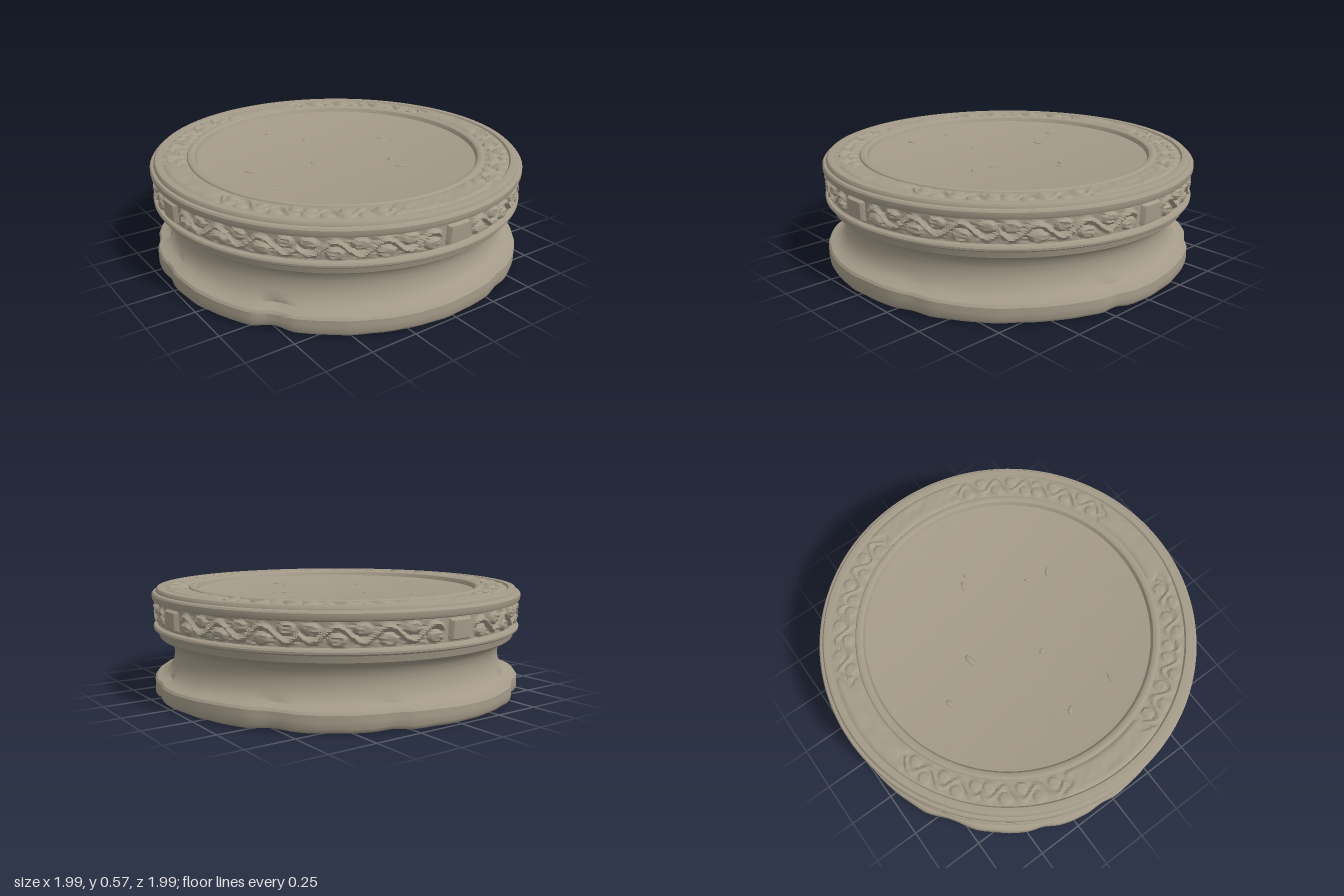
import * as THREE from 'three';
import { toCreasedNormals } from 'three/addons/utils/BufferGeometryUtils.js';

const stone = new THREE.MeshStandardMaterial({ color: 0xa39a88 });
stone.name = 'weathered stone';

const smooth = THREE.MathUtils.smoothstep;
const bump = (d, w) => 1 - smooth(Math.abs(d), 0, w);

// Turn a profile of [radius, height] points; move(point, angle) may reshape it
function turned(name, profile, segments, crease, move) {
  const pts = profile.map(([r, y]) => new THREE.Vector2(r, y));
  const geo = new THREE.LatheGeometry(pts, segments);
  if (move) {
    const pos = geo.attributes.position;
    const p = { r: 0, y: 0, row: 0 };
    for (let i = 0; i < pos.count; i++) {
      const a = (Math.floor(i / pts.length) % segments) / segments * Math.PI * 2;
      p.row = i % pts.length;
      p.r = pts[p.row].x;
      p.y = pts[p.row].y;
      move(p, a);
      pos.setXYZ(i, p.r * Math.sin(a), p.y, p.r * Math.cos(a));
    }
  }
  const mesh = new THREE.Mesh(toCreasedNormals(geo, crease), stone);
  mesh.name = name;
  return mesh;
}

// Points along a straight profile, for bands that will be carved
const ramp = (r0, y0, r1, y1, n) => Array.from({ length: n + 1 }, (_, i) =>
  [r0 + (r1 - r0) * i / n, y0 + (y1 - y0) * i / n]);

// Angle from the nearest of the four main axes, -45..45 degrees
const axisDegrees = (a) => {
  const d = THREE.MathUtils.radToDeg(a);
  return d - 90 * Math.round(d / 90);
};

// Worn, uneven surface
const wear = (a, v) => 0.5 * Math.sin(31 * a + 5 * v) * Math.sin(17 * a - 7 * v + 1)
  + 0.5 * Math.sin(53 * a + 9 * v) * Math.cos(23 * a + 4 * v);

// Scrolling vine with leaves, 0..1; u counts waves along the band
function scroll(u, v, a) {
  const wave = 0.5 + 0.27 * Math.sin(u * Math.PI * 2);
  const vine = bump(v - wave, 0.17);
  const k = Math.round(u * 2 - 0.5);
  const du = u * 2 - 0.5 - k;
  const side = k % 2 === 0 ? 0.3 : 0.7;
  const leaf = 1 - smooth(Math.hypot(du / 0.42, (v - side) / 0.27), 0.6, 1);
  return Math.max(vine, 0.9 * leaf) + 0.28 * wear(a, v * 3);
}

const fade = (v) => smooth(v, 0, 0.12) * (1 - smooth(v, 0.88, 1));

// Side frieze: rounded cartouche on each axis, scrolls between
function friezeRelief(a, v) {
  const d = Math.abs(axisDegrees(a));
  const block = 1 - smooth(Math.max(d / 4, Math.abs(v - 0.5) / 0.45), 0.78, 1);
  const vines = d > 5 ? scroll((d - 5) / 13.4, v, a) * smooth(d, 5, 6.5) : 0;
  return (block + vines) * fade(v);
}

// Top border: broad panel on each axis, foliage between
function borderRelief(a, v) {
  const d = Math.abs(axisDegrees(a));
  const end = 15 + 3 * v + 1.5 * Math.sin(v * 9);
  const panel = 1 - smooth(d, end - 1.2, end);
  const hollow = 0.35 * bump(d, 5) * bump(v - 0.6, 0.4);
  const leaves = scroll((d - 18) / 11, v, a) * smooth(d, end + 0.5, end + 2);
  return (panel * (0.85 + 0.2 * wear(a, v)) - hollow + leaves) * fade(v);
}

// Broken spots on the foot: [angle in degrees, half width, depth]
const dents = [[-52, 7, 0.022], [215, 9, 0.018], [160, 6, 0.014], [128, 8, 0.014],
  [78, 5, 0.01], [20, 7, 0.008], [-95, 6, 0.012], [245, 5, 0.012]];

function wornFoot(p, a) {
  if (p.y > 0.13 || p.r < 0.85) return;
  const deg = THREE.MathUtils.radToDeg(a);
  let depth = 0.003 * (1 + wear(a * 0.5, 0));
  for (const [at, w, d] of dents) {
    const off = ((deg - at + 540) % 360) - 180;
    depth += d * bump(off, w);
  }
  p.r -= depth;
  if (p.y < 0.03) p.y += depth * 0.5;
  else p.y += 0.004 * Math.sin(3 * a + 1) + 0.003 * Math.sin(7 * a);
}

export function createModel() {
  const group = new THREE.Group();
  group.name = 'roundPedestal';

  // Foot with hollow underside, and the waist cove above it
  group.add(turned('footAndWaist', [
    [0, 0.065], [0.75, 0.065], [0.758, 0.055], [0.77, 0.012], [0.78, 0.004], [0.86, 0.002],
    [0.975, 0.002], [0.99, 0.01], [0.998, 0.025], [0.998, 0.06], [0.997, 0.09],
    [0.988, 0.102], [0.965, 0.108], [0.937, 0.12], [0.913, 0.14], [0.896, 0.17],
    [0.888, 0.205], [0.887, 0.235], [0.894, 0.265], [0.908, 0.288], [0.93, 0.304], [0.955, 0.312],
  ], 180, 0.6, wornFoot));

  // Stepped moulding under the frieze
  group.add(turned('lowerMoulding', [
    [0.93, 0.304], [0.955, 0.31], [0.964, 0.318], [0.968, 0.335], [0.972, 0.35],
    [0.984, 0.353], [0.992, 0.36], [0.993, 0.37], [0.988, 0.379], [0.972, 0.382], [0.968, 0.386],
  ], 160, 0.55));

  // Carved side frieze
  const rows = 14;
  group.add(turned('carvedFrieze', ramp(0.968, 0.384, 0.972, 0.504, rows), 720, 0.7, (p, a) => {
    p.r += 0.02 * friezeRelief(a, p.row / rows);
  }));

  // Cornice and outer rim of the top
  group.add(turned('upperRim', [
    [0.968, 0.5], [0.978, 0.504], [0.992, 0.508], [0.997, 0.518], [0.997, 0.54], [0.991, 0.549],
    [0.977, 0.552], [0.975, 0.562], [0.968, 0.571], [0.955, 0.573], [0.935, 0.572], [0.928, 0.562],
  ], 160, 0.55));

  // Carved border on the top
  group.add(turned('carvedTopBorder', ramp(0.93, 0.562, 0.802, 0.562, rows), 720, 0.7, (p, a) => {
    p.y += 0.012 * borderRelief(a, 1 - p.row / rows);
  }));

  // Inner lip and sunken floor
  group.add(turned('innerLipAndFloor', [
    [0.804, 0.561], [0.799, 0.57], [0.79, 0.574], [0.775, 0.573], [0.764, 0.567],
    [0.758, 0.556], [0.754, 0.546], [0.745, 0.544], [0, 0.544],
  ], 160, 0.55));

  // Small chips on the floor: [x, z, length, width, turn]
  const chips = [[-0.54, 0, 0.024, 0.012, -0.8], [0.35, -0.045, 0.026, 0.01, -0.4],
    [0.39, 0, 0.018, 0.008, 0.5], [-0.2, 0.075, 0.012, 0.016, 0], [-0.53, 0.27, 0.03, 0.01, 0],
    [0.17, 0.26, 0.022, 0.01, 1], [0.15, 0.375, 0.028, 0.012, -0.7],
    [-0.02, -0.26, 0.035, 0.016, 0.2], [-0.15, -0.48, 0.024, 0.014, 0.3]];
  for (const [x, z, l, w, turn] of chips) {
    const chip = new THREE.Mesh(new THREE.SphereGeometry(1, 10, 6), stone);
    chip.name = 'floorChip';
    chip.scale.set(l, 0.007, w);
    chip.position.set(x, 0.544, z);
    chip.rotation.y = turn;
    group.add(chip);
  }
  return group;
}
